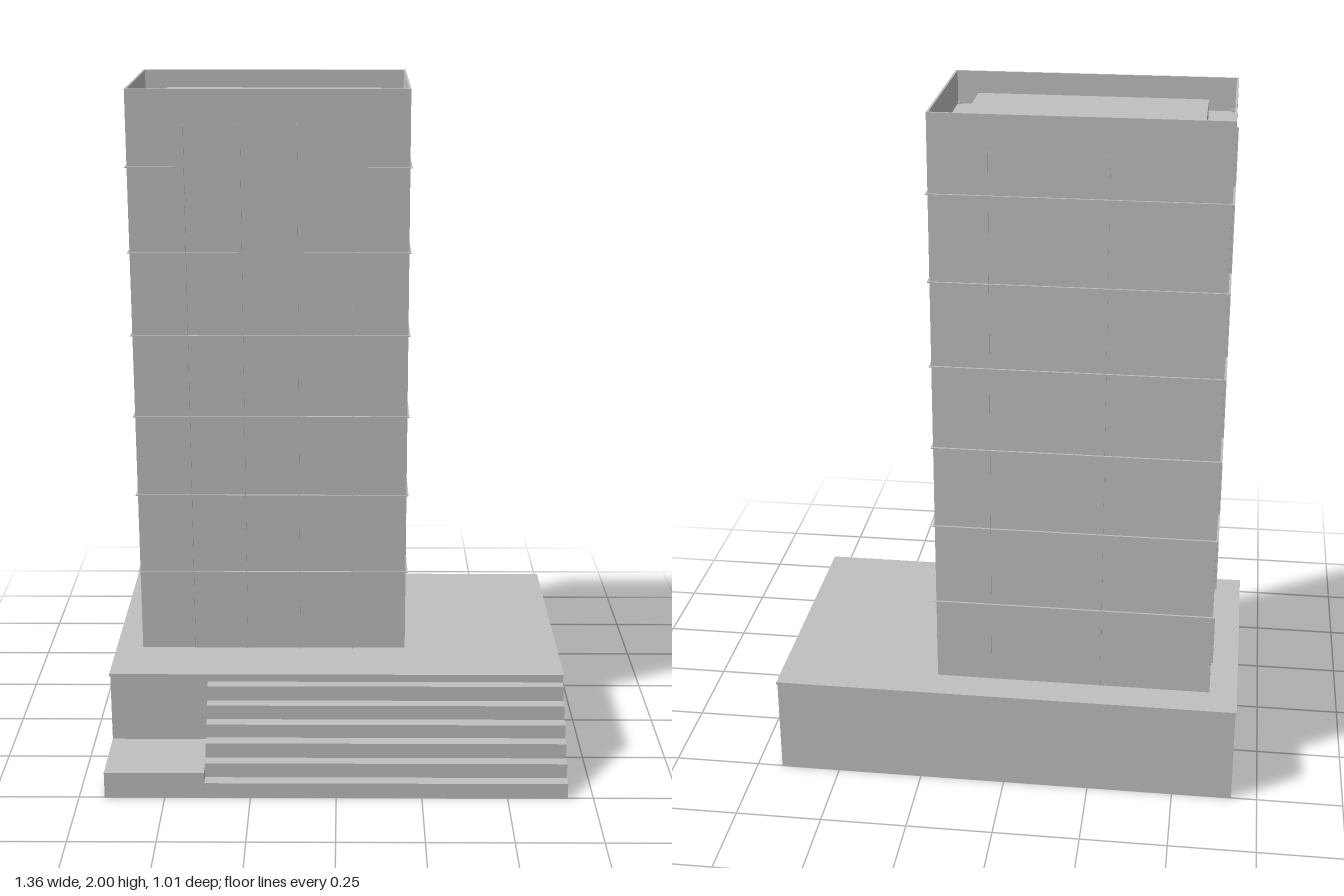
import * as THREE from 'three';

const concrete = new THREE.MeshStandardMaterial({ color: 0xc0c0c0, side: THREE.DoubleSide });
concrete.name = 'concreteGrey';

// Box given by its minimum and maximum corners; open boxes have no underside
function box(parent, name, [x0, y0, z0], [x1, y1, z1], open = false) {
  const geo = new THREE.BoxGeometry(x1 - x0, y1 - y0, z1 - z0);
  if (open) {
    const index = Array.from(geo.index.array);
    index.splice(18, 6);
    geo.setIndex(index);
    geo.clearGroups();
  }
  const mesh = new THREE.Mesh(geo, concrete);
  mesh.name = name;
  mesh.position.set((x0 + x1) / 2, (y0 + y1) / 2, (z0 + z1) / 2);
  parent.add(mesh);
  return mesh;
}

// Rectangular frame lying flat, from an outer and an inner rectangle
function frame(parent, name, x0, x1, z0, z1, inset, y, height) {
  const rect = (Type, d) => new Type([
    new THREE.Vector2(x0 + d, -z1 + d), new THREE.Vector2(x1 - d, -z1 + d),
    new THREE.Vector2(x1 - d, -z0 - d), new THREE.Vector2(x0 + d, -z0 - d),
  ]);
  const shape = rect(THREE.Shape, 0);
  shape.holes.push(rect(THREE.Path, inset));
  const geo = new THREE.ExtrudeGeometry(shape, { depth: height, bevelEnabled: false });
  geo.rotateX(-Math.PI / 2);
  const mesh = new THREE.Mesh(geo, concrete);
  mesh.name = name;
  mesh.position.y = y;
  parent.add(mesh);
}

// Hollow stair: treads and risers swept along x, closed at both ends
function stairs(parent, x0, x1) {
  const zs = [0.502, 0.466, 0.43, 0.393, 0.357, 0.322, 0.29];
  const ys = [0.047, 0.092, 0.138, 0.18, 0.224, 0.27];
  const profile = [[zs[0], 0]];
  ys.forEach((y, i) => profile.push([zs[i], y], [zs[i + 1], y]));
  const pos = [];
  for (let i = 0; i < profile.length - 1; i++) {
    const [za, ya] = profile[i], [zb, yb] = profile[i + 1];
    pos.push(x0, ya, za, x1, ya, za, x1, yb, zb, x0, ya, za, x1, yb, zb, x0, yb, zb);
  }
  const geo = new THREE.BufferGeometry();
  geo.setAttribute('position', new THREE.Float32BufferAttribute(pos, 3));
  geo.computeVertexNormals();
  const steps = new THREE.Mesh(geo, concrete);
  steps.name = 'stairSteps';
  parent.add(steps);

  const side = new THREE.Shape([...profile, [zs[6], 0]].map(([z, y]) => new THREE.Vector2(-z, y)));
  for (const x of [x0, x1]) {
    const cap = new THREE.Mesh(new THREE.ShapeGeometry(side), concrete);
    cap.name = 'stairSide';
    cap.rotation.y = Math.PI / 2;
    cap.position.x = x;
    parent.add(cap);
  }
}

export function createModel() {
  const model = new THREE.Group();
  model.name = 'towerBlock';

  // Hollow podium with a thin slab edge, side ledge and stairs
  const base = new THREE.Group();
  base.name = 'podium';
  model.add(base);
  box(base, 'podiumWalls', [-0.675, 0, -0.501], [0.675, 0.288, 0.29], true);
  box(base, 'podiumSlab', [-0.678, 0.288, -0.503], [0.678, 0.295, 0.293]);
  box(base, 'frontLedge', [-0.675, 0, 0.29], [-0.384, 0.08, 0.503], true);
  stairs(base, -0.384, 0.675);

  // Tower body with a sunken roof
  const tower = new THREE.Group();
  tower.name = 'tower';
  model.add(tower);
  const X0 = -0.597, X1 = 0.209, Z0 = -0.402, Z1 = 0.1, Y0 = 0.295, ROOF = 1.905;
  box(tower, 'towerBody', [X0, Y0, Z0], [X1, ROOF, Z1]);
  frame(tower, 'parapet', X0, X1, Z0, Z1, 0.006, ROOF, 0.095);
  box(tower, 'roofPlatform', [-0.517, ROOF, -0.325], [0.132, 1.955, 0.018]);
  for (const x of [X0 + 0.007, X1 - 0.017])
    for (const z of [Z0 + 0.007, Z1 - 0.017])
      box(tower, 'roofPost', [x, ROOF, z], [x + 0.01, ROOF + 0.006, z + 0.01]);

  // Thin floor bands around the tower
  const out = 0.006, thin = 0.0015;
  for (let i = 0; i < 6; i++) {
    frame(tower, 'floorBand', X0 - out, X1 + out, Z0 - out, Z1 + out, out + 0.002, 0.545 + i * 0.2466, thin * 2);
  }

  // Upright fins: four in front, two at the back, two on each side
  const xAt = (f) => X0 + (X1 - X0) * f;
  const zAt = (f) => Z0 + (Z1 - Z0) * f;
  for (const f of [0.2, 0.4, 0.6, 0.8])
    box(tower, 'frontFin', [xAt(f) - thin, Y0, Z1 - 0.002], [xAt(f) + thin, 1.9, Z1 + out]);
  for (const f of [0.4, 0.8])
    box(tower, 'backFin', [xAt(f) - thin, Y0, Z0 - 0.003], [xAt(f) + thin, 1.9, Z0 + 0.002]);
  for (const f of [1 / 3, 2 / 3]) {
    box(tower, 'leftFin', [X1 - 0.002, Y0, zAt(f) - thin], [X1 + out, 1.9, zAt(f) + thin]);
    box(tower, 'rightFin', [X0 - out, Y0, zAt(f) - thin], [X0 + 0.002, 1.9, zAt(f) + thin]);
  }

  return model;
}
